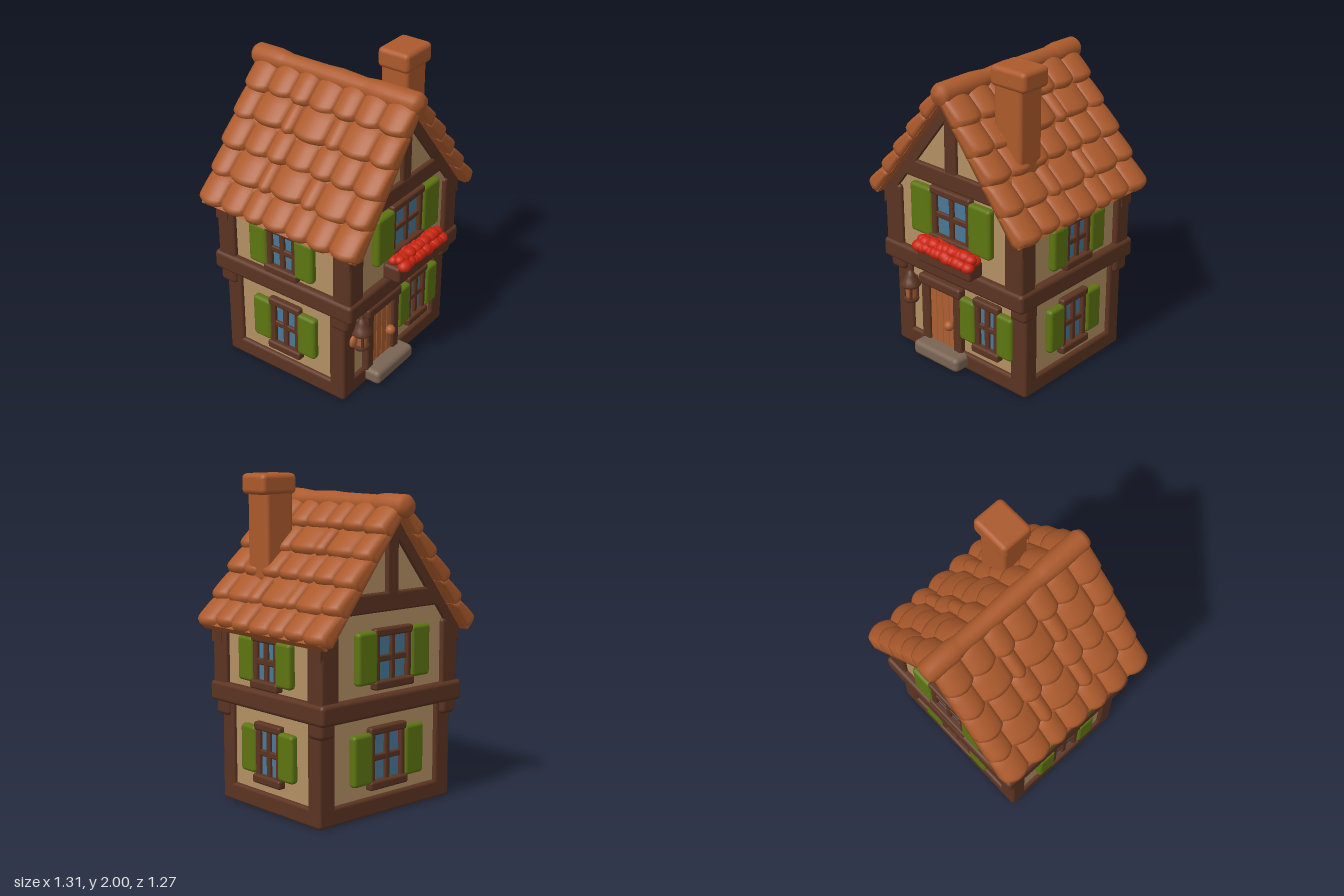
import * as THREE from 'three';
import { mergeVertices } from 'three/addons/utils/BufferGeometryUtils.js';
import { RoundedBoxGeometry } from 'three/addons/geometries/RoundedBoxGeometry.js';

const mat = (name, color) => {
  const m = new THREE.MeshStandardMaterial({ color });
  m.name = name;
  return m;
};

export function createModel() {
  const house = new THREE.Group();
  house.name = 'cottage';
  const timber = mat('dark timber', 0x5c3422);
  const plaster = mat('plaster', 0xb39063);
  const clay = mat('clay tile', 0xac5a2c);
  const green = mat('shutter green', 0x5d7510);
  const glass = mat('window glass', 0x4a7896);
  const red = mat('flower red', 0xca2410);
  const wood = mat('door wood', 0xac5f31);
  const stone = mat('step stone', 0x7a6453);

  let seed = 7;
  const rnd = () => (seed = (seed * 16807) % 2147483647) / 2147483647;

  const add = (parent, name, geo, material, x = 0, y = 0, z = 0) => {
    const m = new THREE.Mesh(geo, material);
    m.name = name;
    m.position.set(x, y, z);
    parent.add(m);
    return m;
  };
  // Soft-edged box given by its extents
  const box = (parent, name, material, x0, x1, y0, y1, z0, z1, r = 0.015) => {
    const w = x1 - x0, h = y1 - y0, d = z1 - z0;
    const geo = new RoundedBoxGeometry(w, h, d, 2, Math.min(r, w * 0.45, h * 0.45, d * 0.45));
    return add(parent, name, geo, material, (x0 + x1) / 2, (y0 + y1) / 2, (z0 + z1) / 2);
  };
  const extrude = (name, pts, material, z0, z1) => {
    const shape = new THREE.Shape(pts.map(p => new THREE.Vector2(p[0], p[1])));
    const geo = new THREE.ExtrudeGeometry(shape, { depth: z1 - z0, bevelEnabled: false });
    return add(house, name, geo, material, 0, 0, z0);
  };

  // Plaster walls
  box(house, 'lowerWall', plaster, -0.515, 0.515, 0.05, 0.68, -0.445, 0.405, 0.005);
  extrude('upperWall', [[-0.53, 0.7], [0.53, 0.7], [0.53, 1.1], [0, 1.77], [-0.53, 1.1]], plaster, -0.485, 0.465);

  // Timber frame
  box(house, 'baseSill', timber, -0.54, 0.54, 0, 0.115, -0.47, 0.43, 0.02);
  box(house, 'floorBeam', timber, -0.575, 0.575, 0.615, 0.74, -0.535, 0.505, 0.025);
  for (const s of [-1, 1]) {
    for (const f of [-1, 1]) {
      const post = (name, xa, xb, y0, y1, za, zb, r) =>
        box(house, name, timber, Math.min(s * xa, s * xb), Math.max(s * xa, s * xb), y0, y1, Math.min(za, zb), Math.max(za, zb), r);
      const lz = f > 0 ? 0.43 : -0.47, uz = f > 0 ? 0.49 : -0.51;
      post('lowerPost', 0.415, 0.54, 0.02, 0.65, lz - f * 0.11, lz, 0.02);
      post('cornerBracket', 0.44, 0.562, 0.53, 0.65, lz - f * 0.09, lz + f * 0.035, 0.03);
      post('upperPost', 0.42, 0.56, 0.7, 1.13, uz - f * 0.13, uz, 0.02);
    }
  }
  for (const [z0, z1] of [[0.4, 0.49], [-0.51, -0.42]]) {
    box(house, 'gableBeam', timber, -0.39, 0.39, 1.22, 1.335, z0, z1);
    box(house, 'gablePost', timber, -0.047, 0.047, 1.3, 1.72, z0, z1 - 0.003);
    extrude('gableRafters', [[0, 1.81], [-0.565, 1.085], [-0.565, 0.98], [-0.5, 1.055], [0, 1.69],
      [0.5, 1.055], [0.565, 0.98], [0.565, 1.085]], timber, z0, z1);
  }

  // Roof deck under the tiles
  extrude('roofDeck', [[0, 1.88], [-0.62, 1.09], [-0.575, 1.055], [0, 1.79], [0.575, 1.055], [0.62, 1.09]], clay, -0.57, 0.54);

  // Curved tiles: u runs down the slope, n away from it, z along the eave
  const columns = [-0.59, -0.43, -0.235, -0.12, 0.08, 0.21, 0.395, 0.56];
  const rows = 5, rowLength = 0.185, du = [0.616, -0.788], dn = [0.788, 0.616];
  const tile = (side, row, z0, z1) => {
    let geo = new THREE.BoxGeometry(2, 2, 2, 6, 3, 8);
    geo.deleteAttribute('normal');
    geo.deleteAttribute('uv');
    geo = mergeVertices(geo);
    const p = geo.attributes.position, lift = (rnd() - 0.5) * 0.01, slip = (rnd() - 0.5) * 0.015;
    for (let i = 0; i < p.count; i++) {
      const a = p.getX(i), b = p.getY(i), c = p.getZ(i);
      const k = (a + 1) / 2, arch = 1 - c * c;
      const round = Math.max(0, Math.abs(a) - 0.6) * 0.03 * (b > 0 ? 1 : 0);
      const top = 0.05 + 0.04 * k + 0.026 * arch + lift - round;
      const bottom = 0.012 * arch * k;
      const n = bottom + (top - bottom) * (b + 1) / 2;
      const endRound = a > 0.9 ? -0.014 * b * b : 0;
      const u = (row - 0.12) * rowLength + k * (rowLength * 1.12 + slip + 0.025 * arch) - 0.01 * k + endRound;
      const z = (z0 + z1) / 2 + c * ((z1 - z0) / 2 + 0.004 - 0.004 * b);
      p.setXYZ(i, side * (u * du[0] + n * dn[0]), 1.79 + u * du[1] + n * dn[1], z);
    }
    // The local frame is left-handed on one side, so flip its faces there
    if (side > 0) {
      const ix = geo.index;
      // u, n, z is right-handed for the +x slope and needs no change
      ix.needsUpdate = true;
    } else {
      const ix = geo.index;
      for (let i = 0; i < ix.count; i += 3) {
        const t = ix.getX(i);
        ix.setX(i, ix.getX(i + 1));
        ix.setX(i + 1, t);
      }
    }
    geo.computeVertexNormals();
    add(house, 'roofTile', geo, clay);
  };
  for (const side of [-1, 1])
    for (let r = 0; r < rows; r++)
      for (let c = 0; c < columns.length - 1; c++) {
        const j = 0.012 * ((r + c) % 2 ? 1 : -1);
        const z0 = columns[c] + (c > 0 ? j : 0), z1 = columns[c + 1] - (c < columns.length - 2 ? j : 0);
        tile(side, r, z0, z1);
      }

  // Ridge cap
  const ridge = [[0, -0.635], [0.05, -0.63], [0.068, -0.605], [0.07, -0.45], [0.064, -0.4], [0.058, -0.37], [0.06, -0.1],
    [0.066, 0], [0.058, 0.18], [0.064, 0.23], [0.07, 0.3], [0.07, 0.54], [0.055, 0.57], [0, 0.58]];
  const ridgeGeo = new THREE.LatheGeometry(ridge.map(q => new THREE.Vector2(q[0], q[1])), 20);
  ridgeGeo.rotateX(Math.PI / 2);
  add(house, 'ridgeCap', ridgeGeo, clay, 0, 1.828, 0);

  // Chimney
  box(house, 'chimneyShaft', clay, 0.2, 0.405, 1.36, 1.92, 0.143, 0.332, 0.025);
  box(house, 'chimneyCap', clay, 0.18, 0.443, 1.875, 2, 0.128, 0.345, 0.03);

  // Window with frame, four panes and two shutters; local z points out of the wall
  const windowUnit = (name, pos, turn, cx, w, y0, y1, shutterW, s0, s1) => {
    const g = new THREE.Group();
    g.name = name;
    g.position.set(...pos);
    g.rotation.y = turn;
    house.add(g);
    const l = cx - w / 2, r = cx + w / 2, b = 0.042, m = (y0 + y1) / 2;
    box(g, 'pane', glass, l + 0.02, r - 0.02, y0 + 0.02, y1 - 0.02, 0.002, 0.01, 0.002);
    box(g, 'sill', timber, l - 0.01, r + 0.01, y0, y0 + 0.055, -0.01, 0.05);
    box(g, 'lintel', timber, l - 0.005, r + 0.005, y1 - 0.05, y1, -0.01, 0.042);
    box(g, 'leftJamb', timber, l, l + b, y0 + 0.02, y1 - 0.02, -0.01, 0.034);
    box(g, 'rightJamb', timber, r - b, r, y0 + 0.02, y1 - 0.02, -0.01, 0.034);
    box(g, 'mullion', timber, cx - 0.018, cx + 0.018, y0 + 0.02, y1 - 0.02, -0.01, 0.028, 0.01);
    box(g, 'crossbar', timber, l + 0.02, r - 0.02, m - 0.02, m + 0.02, -0.01, 0.026, 0.01);
    box(g, 'leftShutter', green, l - shutterW + 0.012, l + 0.012, s0, s1, -0.01, 0.047, 0.022);
    box(g, 'rightShutter', green, r - 0.012, r + shutterW - 0.012, s0, s1, -0.01, 0.047, 0.022);
  };
  windowUnit('frontUpperWindow', [0, 0, 0.465], 0, 0.006, 0.32, 0.86, 1.22, 0.175, 0.88, 1.2);
  windowUnit('frontLowerWindow', [0, 0, 0.405], 0, 0.228, 0.2, 0.175, 0.545, 0.125, 0.22, 0.51);
  windowUnit('backUpperWindow', [0, 0, -0.485], Math.PI, 0, 0.3, 0.77, 1.13, 0.155, 0.81, 1.12);
  windowUnit('backLowerWindow', [0, 0, -0.445], Math.PI, 0, 0.29, 0.16, 0.54, 0.155, 0.2, 0.51);
  for (const s of [-1, 1]) {
    windowUnit('sideUpperWindow', [s * 0.53, 0, 0], s * Math.PI / 2, s * 0.013, 0.23, 0.75, 1.08, 0.135, 0.785, 1.055);
    windowUnit('sideLowerWindow', [s * 0.515, 0, 0], s * Math.PI / 2, s * 0.013, 0.23, 0.17, 0.545, 0.135, 0.225, 0.515);
  }

  // Flower box
  box(house, 'flowerBox', timber, -0.2, 0.235, 0.735, 0.84, 0.46, 0.58, 0.02);
  const bloom = new THREE.IcosahedronGeometry(1, 2);
  const leaf = new THREE.SphereGeometry(1, 10, 8);
  for (let i = 0; i < 12; i++) {
    const x = -0.17 + 0.036 * i;
    for (let k = 0; k < 3; k++) {
      const r = 0.032 + rnd() * 0.01;
      const f = add(house, 'flower', bloom, red, x + (rnd() - 0.5) * 0.02,
        [0.865, 0.88, 0.85][k] + (rnd() - 0.5) * 0.014, [0.52, 0.56, 0.592][k]);
      f.scale.set(r * 1.15, r * 0.9, r);
    }
    if (i % 2) add(house, 'leaf', leaf, green, x, 0.83, 0.578).scale.set(0.022, 0.02, 0.018);
  }

  // Door with frame, boards, knob and step
  box(house, 'doorFrameLeft', timber, -0.315, -0.245, 0.09, 0.53, 0.39, 0.445);
  box(house, 'doorFrameRight', timber, -0.045, 0.022, 0.09, 0.53, 0.39, 0.445);
  box(house, 'doorLintel', timber, -0.325, 0.03, 0.488, 0.56, 0.39, 0.46, 0.02);
  for (let i = 0; i < 4; i++)
    box(house, 'doorBoard', wood, -0.25 + i * 0.053, -0.197 + i * 0.053, 0.1, 0.495, 0.39, 0.427, 0.006);
  add(house, 'doorKnob', new THREE.SphereGeometry(0.032, 16, 12), wood, -0.075, 0.27, 0.445);
  box(house, 'doorStep', stone, -0.315, 0.065, 0.015, 0.11, 0.38, 0.53, 0.03);

  // Wall lantern
  const lantern = new THREE.Group();
  lantern.name = 'lantern';
  lantern.position.set(-0.395, 0, 0.455);
  house.add(lantern);
  const lathe = pts => new THREE.LatheGeometry(pts.map(q => new THREE.Vector2(q[0], q[1])), 16);
  add(lantern, 'lanternCap', lathe([[0, 0.43], [0.055, 0.44], [0.07, 0.46], [0.045, 0.485], [0.032, 0.515], [0.018, 0.545], [0, 0.552]]), timber);
  add(lantern, 'lanternBase', lathe([[0, 0.335], [0.045, 0.338], [0.052, 0.352], [0.045, 0.368], [0, 0.37]]), timber);
  add(lantern, 'lanternLight', new THREE.CylinderGeometry(0.036, 0.034, 0.09, 12), wood, 0, 0.405, 0);
  for (let i = 0; i < 4; i++) {
    const a = Math.PI / 4 + i * Math.PI / 2;
    add(lantern, 'lanternBar', new THREE.CylinderGeometry(0.009, 0.009, 0.1, 8), timber, 0.04 * Math.cos(a), 0.405, 0.04 * Math.sin(a));
  }
  add(lantern, 'lanternShade', new THREE.SphereGeometry(1, 14, 10), wood, -0.06, 0.41, -0.015).scale.set(0.033, 0.042, 0.02);
  box(lantern, 'lanternBracket', timber, -0.02, 0.02, 0.46, 0.5, -0.06, 0, 0.01);

  return house;
}
